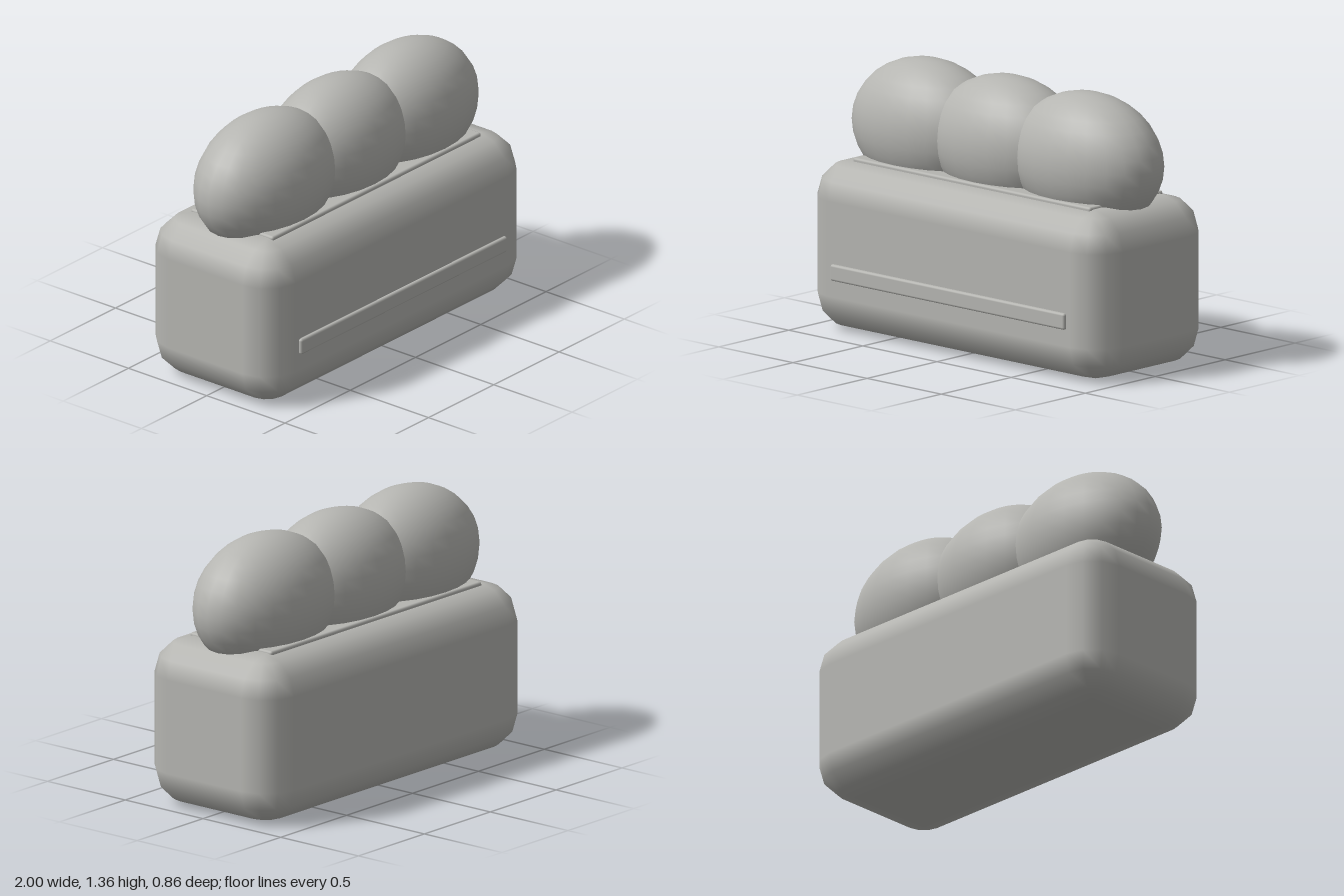
import * as THREE from 'three';

const SEG = 3; // facets per rounded edge

// Box with evenly stepped rounded edges and smooth normals, centred on the origin
function roundedBox(w, h, d, r) {
  const pos = [], nor = [], idx = [];
  const hx = w / 2 - r, hy = h / 2 - r, hz = d / 2 - r;
  const cols = 4 * (SEG + 1), rows = 2 * (SEG + 1);
  const step = Math.PI / 2 / SEG;
  for (let j = 0; j < rows; j++) {
    const sy = j <= SEG ? -1 : 1;
    const el = sy < 0 ? (j - SEG) * step : (j - SEG - 1) * step;
    for (let i = 0; i < cols; i++) {
      const q = Math.floor(i / (SEG + 1));
      const az = q * Math.PI / 2 + (i % (SEG + 1)) * step;
      const sx = q === 0 || q === 3 ? 1 : -1, sz = q < 2 ? 1 : -1;
      const n = [Math.cos(el) * Math.cos(az), Math.sin(el), Math.cos(el) * Math.sin(az)];
      nor.push(...n);
      pos.push(sx * hx + r * n[0], sy * hy + r * n[1], sz * hz + r * n[2]);
    }
  }
  for (let j = 0; j < rows - 1; j++) {
    for (let i = 0; i < cols; i++) {
      const k = (i + 1) % cols;
      const a = j * cols + i, b = j * cols + k, c = b + cols, e = a + cols;
      idx.push(a, e, c, a, c, b);
    }
  }
  // flat caps on the bottom and top
  const bottom = rows * cols, top = bottom + 1, last = (rows - 1) * cols;
  pos.push(0, -h / 2, 0, 0, h / 2, 0);
  nor.push(0, -1, 0, 0, 1, 0);
  for (let i = 0; i < cols; i++) {
    const k = (i + 1) % cols;
    idx.push(bottom, i, k, top, last + k, last + i);
  }
  const g = new THREE.BufferGeometry();
  g.setAttribute('position', new THREE.Float32BufferAttribute(pos, 3));
  g.setAttribute('normal', new THREE.Float32BufferAttribute(nor, 3));
  g.setIndex(idx);
  return g;
}

export function createModel() {
  const group = new THREE.Group();
  const grey = new THREE.MeshStandardMaterial({ color: 0xb5b5b1 });
  grey.name = 'warm grey';
  const midZ = -0.008;

  const add = (name, geometry, x, y, z) => {
    const mesh = new THREE.Mesh(geometry, grey);
    mesh.name = name;
    mesh.position.set(x, y, z);
    group.add(mesh);
    return mesh;
  };

  // Rounded base block
  add('base', roundedBox(2, 0.848, 0.844, 0.185), 0, 0.424, midZ);

  // Thin plate under the cushions
  add('topPlate', roundedBox(1.6, 0.04, 0.526, 0.012), 0, 0.84, midZ);

  // Raised strip across the front
  add('frontStrip', roundedBox(1.58, 0.083, 0.05, 0.012), 0, 0.312, 0.406);

  // Three overlapping egg-shaped cushions
  const ball = new THREE.SphereGeometry(1, 24, 16);
  ['rightCushion', 'middleCushion', 'leftCushion'].forEach((name, i) => {
    add(name, ball, (i - 1) * 0.54, 1.02, midZ).scale.set(0.44, 0.34, 0.283);
  });

  return group;
}
